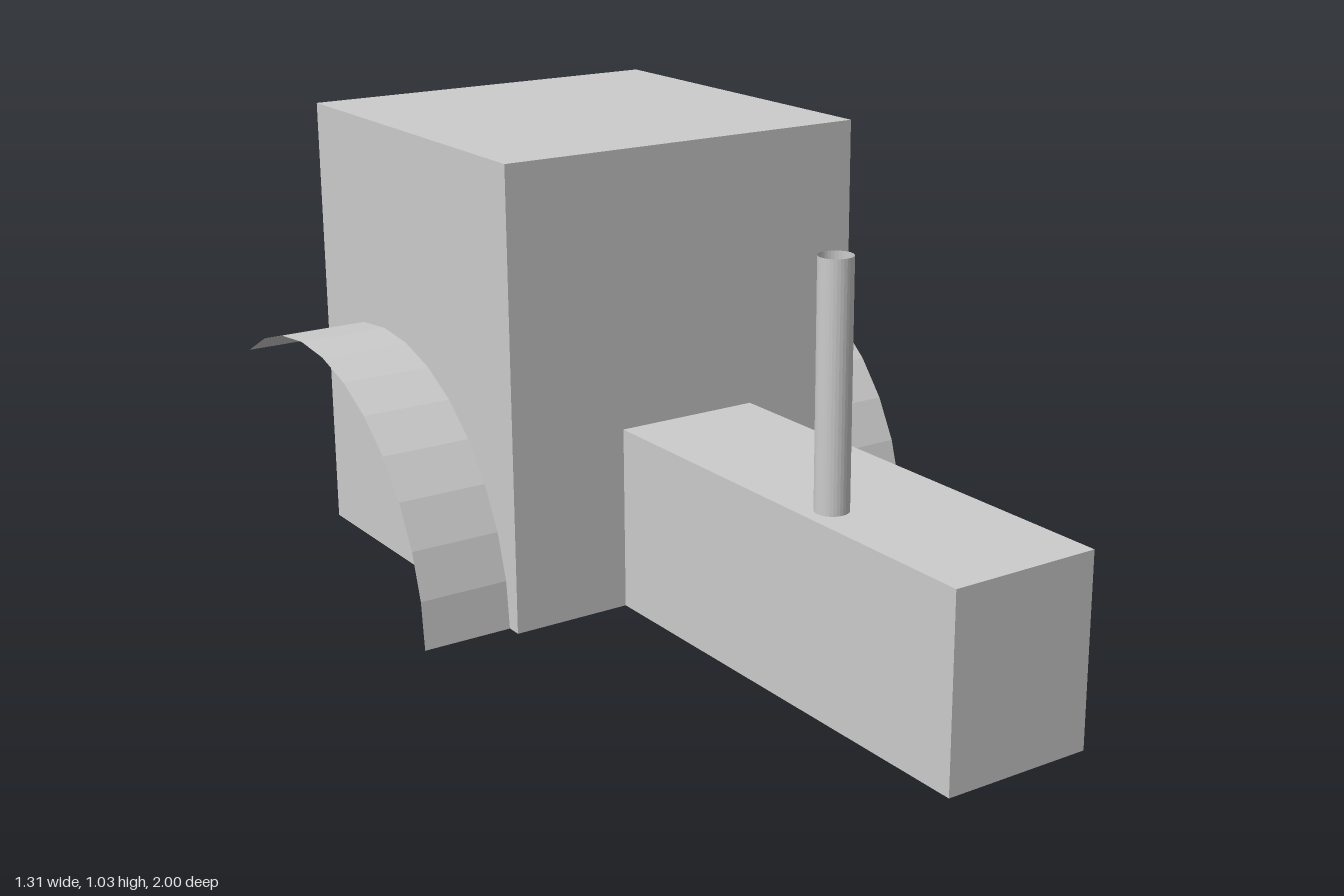
import * as THREE from 'three';

export function createModel() {
  const model = new THREE.Group();
  const solid = new THREE.MeshStandardMaterial({ color: 0xcccccc, flatShading: true });
  const sheet = new THREE.MeshStandardMaterial({ color: 0xcccccc, flatShading: true, side: THREE.DoubleSide });

  function add(name, geometry, material, x, y, z) {
    const mesh = new THREE.Mesh(geometry, material);
    mesh.name = name;
    mesh.position.set(x, y, z);
    model.add(mesh);
  }

  // Tall cab at the back, narrow hood in front of it
  add('cab', new THREE.BoxGeometry(0.895, 1.035, 0.895), solid, 0, 0.5175, -0.5525);
  add('hood', new THREE.BoxGeometry(0.34, 0.415, 1.105), solid, 0, 0.2075, 0.4475);

  // Open exhaust pipe standing off-centre on the hood
  add('exhaustPipe', new THREE.CylinderGeometry(0.036, 0.036, 0.515, 32, 1, true), sheet, -0.106, 0.6725, 0.555);

  // Thin arched fenders: ground at the front, over the top, down to the cab's rear edge
  const sweep = THREE.MathUtils.degToRad(123.5);
  const fender = new THREE.CylinderGeometry(0.555, 0.555, 0.207, 11, 1, true, 0, sweep);
  fender.rotateZ(Math.PI / 2);
  add('leftFender', fender, sheet, 0.551, 0, -0.695);
  add('rightFender', fender, sheet, -0.551, 0, -0.695);

  return model;
}
